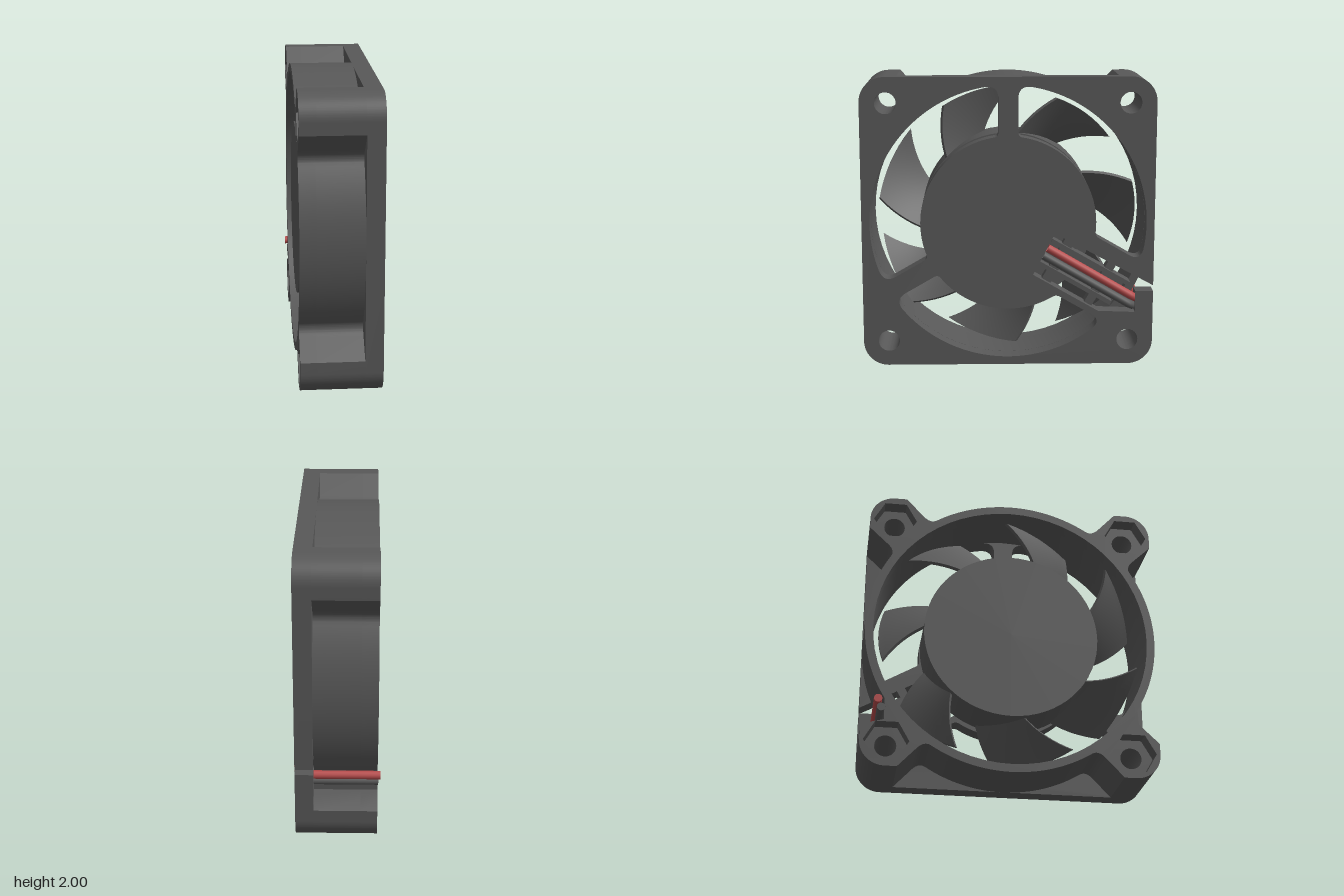
import * as THREE from 'three';
import { toCreasedNormals } from 'three/addons/utils/BufferGeometryUtils.js';

const dark = new THREE.MeshStandardMaterial({ color: 0x585858, side: THREE.DoubleSide });
const red = new THREE.MeshStandardMaterial({ color: 0xb84c4c, side: THREE.DoubleSide });
const { PI, cos, sin, asin } = Math;
const HOLE = 0.825, FRONT = 0.27, FLANGE = 0.15, BACK = -0.27;
const OPEN_R = 0.945, HUB_R = 0.6, SPOKE3 = -PI / 6;

export function createModel() {
  const model = new THREE.Group();
  model.name = 'coolingFan';
  const fan = new THREE.Group();
  fan.name = 'fan';
  fan.rotation.y = PI / 4;
  fan.position.y = 1;
  model.add(fan);

  const add = (name, geometry, material = dark, parent = fan) => {
    const mesh = new THREE.Mesh(geometry, material);
    mesh.name = name;
    parent.add(mesh);
    return mesh;
  };
  const slab = (shape, z0, z1) => {
    const g = new THREE.ExtrudeGeometry(shape, { depth: z1 - z0, bevelEnabled: false, curveSegments: 32 });
    return toCreasedNormals(g.translate(0, 0, z0), 0.5);
  };
  const circle = (x, y, r) => new THREE.Path().absarc(x, y, r, 0, PI * 2, true);
  const hexagon = (x, y, r) => new THREE.Path(Array.from({ length: 6 }, (_, i) =>
    new THREE.Vector2(x + r * cos(-i * PI / 3), y + r * sin(-i * PI / 3))));
  const corners = [[1, 1], [-1, 1], [-1, -1], [1, -1]].map(([x, y]) => [x * HOLE, y * HOLE]);

  // Front flange outline, with the cable channel cut in from the right edge
  const plate = new THREE.Shape();
  plate.absarc(-0.83, -0.83, 0.17, PI, PI * 1.5);
  plate.absarc(0.83, -0.83, 0.17, PI * 1.5, PI * 2);
  [[1, -0.48], [0.877, -0.48], [0.877, -0.63], [0.62, -0.62], [0.17, -0.36], [0.32, -0.07], [1, -0.44]]
    .forEach(([x, y]) => plate.lineTo(x, y));
  plate.absarc(0.83, 0.83, 0.17, 0, PI / 2);
  plate.absarc(-0.83, 0.83, 0.17, PI / 2, PI);
  plate.closePath();
  corners.forEach(([x, y]) => plate.holes.push(circle(x, y, 0.073)));

  // Air openings: rounded sectors between spokes of half-width h0 and h1
  const opening = (a0, h0, a1, h1) => {
    const at = (a, h, r) => { // point at radius r, offset h sideways from spoke a
      const t = a + asin(h / r);
      return [r * cos(t), r * sin(t), t];
    };
    const c = 0.09, k = 0.03;
    const p = new THREE.Path();
    const o0 = at(a0, h0, OPEN_R), o1 = at(a1, -h1, OPEN_R);
    const i0 = at(a0, h0, HUB_R), i1 = at(a1, -h1, HUB_R);
    p.moveTo(...at(a0, h0, HUB_R + k).slice(0, 2));
    p.lineTo(...at(a0, h0, OPEN_R - c).slice(0, 2));
    const s = o0[2] + c / OPEN_R, e = o1[2] - c / OPEN_R;
    p.quadraticCurveTo(o0[0], o0[1], OPEN_R * cos(s), OPEN_R * sin(s));
    p.absarc(0, 0, OPEN_R, s, e);
    p.quadraticCurveTo(o1[0], o1[1], ...at(a1, -h1, OPEN_R - c).slice(0, 2));
    p.lineTo(...at(a1, -h1, HUB_R + k).slice(0, 2));
    const s2 = i1[2] - k / HUB_R, e2 = i0[2] + k / HUB_R;
    p.quadraticCurveTo(i1[0], i1[1], HUB_R * cos(s2), HUB_R * sin(s2));
    p.absarc(0, 0, HUB_R, s2, e2, true);
    p.quadraticCurveTo(i0[0], i0[1], ...at(a0, h0, HUB_R + k).slice(0, 2));
    return p;
  };
  plate.holes.push(
    opening(SPOKE3, 0.22, PI / 2, 0.067),
    opening(PI / 2, 0.067, PI * 7 / 6, 0.067),
    opening(PI * 7 / 6, 0.067, PI * 11 / 6, 0.27));
  add('frontFlange', slab(plate, FLANGE, FRONT));

  // Duct with four corner posts; the rear layer has hexagonal nut pockets
  const bodyShape = (cut) => {
    const s = new THREE.Shape();
    const half = 0.56; // angle where the fillet to a post begins
    for (let i = 0; i < 4; i++) {
      const q = i * PI / 2;
      const turn = (x, y) => [x * cos(q) - y * sin(q), x * sin(q) + y * cos(q)];
      s.absarc(0, 0, 1, q - half, q + half);
      s.quadraticCurveTo(...turn(0.817, 0.578), ...turn(0.87, 0.627));
      s.lineTo(...turn(1, 0.75));
      const d = 0.83 * Math.SQRT2;
      s.absarc(d * cos(q + PI / 4), d * sin(q + PI / 4), 0.17, q, q + PI / 2);
      s.lineTo(...turn(0.75, 1));
      if (i < 3) {
        s.lineTo(...turn(0.627, 0.87));
        s.quadraticCurveTo(...turn(0.578, 0.817), ...turn(sin(half), cos(half)));
      } else { // lower shelf that leaves room for the wires
        s.lineTo(...turn(0.7, 0.92));
        s.lineTo(...turn(0.68, 0.845));
      }
    }
    s.closePath();
    s.holes.push(circle(0, 0, OPEN_R), ...corners.map(([x, y]) => cut(x, y)));
    return s;
  };
  add('ductAndPosts', slab(bodyShape((x, y) => circle(x, y, 0.073)), -0.16, FLANGE));
  add('ductRearWithNutPockets', slab(bodyShape((x, y) => hexagon(x, y, 0.15)), BACK, -0.16));

  // Rotor hub and the motor core joining it to the front plate
  const drum = (name, r, z0, z1) => {
    const g = new THREE.CylinderGeometry(r, r, z1 - z0, 64).rotateX(PI / 2);
    add(name, g.translate(0, 0, (z0 + z1) / 2));
  };
  drum('rotorHub', HUB_R, -0.25, 0.08);
  drum('motorCore', 0.52, 0.08, FLANGE);

  // Seven pitched, swept blades: x = radius, y = chord, z = thickness
  const blade = new THREE.BoxGeometry(1, 1, 1, 8, 8, 1);
  const pos = blade.attributes.position;
  for (let i = 0; i < pos.count; i++) {
    const t = pos.getX(i) + 0.5, s = pos.getY(i), w = pos.getZ(i) * 0.024;
    const r = 0.58 + 0.32 * t;
    const a = (-84 - 18 * t) * PI / 180 + s * (0.5 + 0.05 * t) - w * 0.7 / r;
    pos.setXYZ(i, r * cos(a), r * sin(a), -0.07 + s * 0.26 + w * 0.7);
  }
  const bladeGeometry = toCreasedNormals(blade, 0.6);
  const blades = new THREE.Group();
  blades.name = 'blades';
  fan.add(blades);
  for (let i = 0; i < 7; i++) add('blade', bladeGeometry, dark, blades).rotation.z = i * PI * 2 / 7;

  // Cable guide in the channel: rails, ties and a floor under the hub end
  const guide = new THREE.Group();
  guide.name = 'cableGuide';
  guide.rotation.z = SPOKE3;
  fan.add(guide);
  const bar = (name, x0, x1, y0, y1, z0, z1) =>
    add(name, new THREE.BoxGeometry(x1 - x0, y1 - y0, z1 - z0), dark, guide)
      .position.set((x0 + x1) / 2, (y0 + y1) / 2, (z0 + z1) / 2);
  bar('guideRail', 0.32, 0.94, 0.025, 0.055, 0.13, 0.25);
  bar('guideRail', 0.32, 0.9, -0.155, -0.125, 0.13, 0.25);
  bar('guideFloor', 0.3, 0.92, -0.13, 0.03, 0.13, 0.17);
  bar('guideTie', 0.4, 0.47, -0.23, 0.11, 0.13, 0.22);
  bar('guideTie', 0.74, 0.8, -0.23, 0.11, 0.13, 0.22);

  // Two wires running out along the guide, then back beside the duct
  const wire = (name, x0, y0, x1, y1, end, material) => {
    const path = new THREE.CurvePath();
    const v = (x, y, z) => new THREE.Vector3(x, y, z);
    const bend = v(x1 - 0.05, y1 + 0.03, 0.252);
    path.add(new THREE.LineCurve3(v(x0, y0, 0.252), bend));
    path.add(new THREE.QuadraticBezierCurve3(bend, v(x1, y1, 0.252), v(x1, y1, 0.19)));
    path.add(new THREE.LineCurve3(v(x1, y1, 0.19), v(x1, y1, end)));
    add(name, new THREE.TubeGeometry(path, 60, 0.028, 12), material);
    add(name + 'End', new THREE.CircleGeometry(0.028, 12), material).position.set(x1, y1, end);
  };
  wire('redWire', 0.27, -0.175, 0.89, -0.54, -0.288, red);
  wire('greyWire', 0.24, -0.227, 0.868, -0.595, -0.275, dark);

  return model;
}
